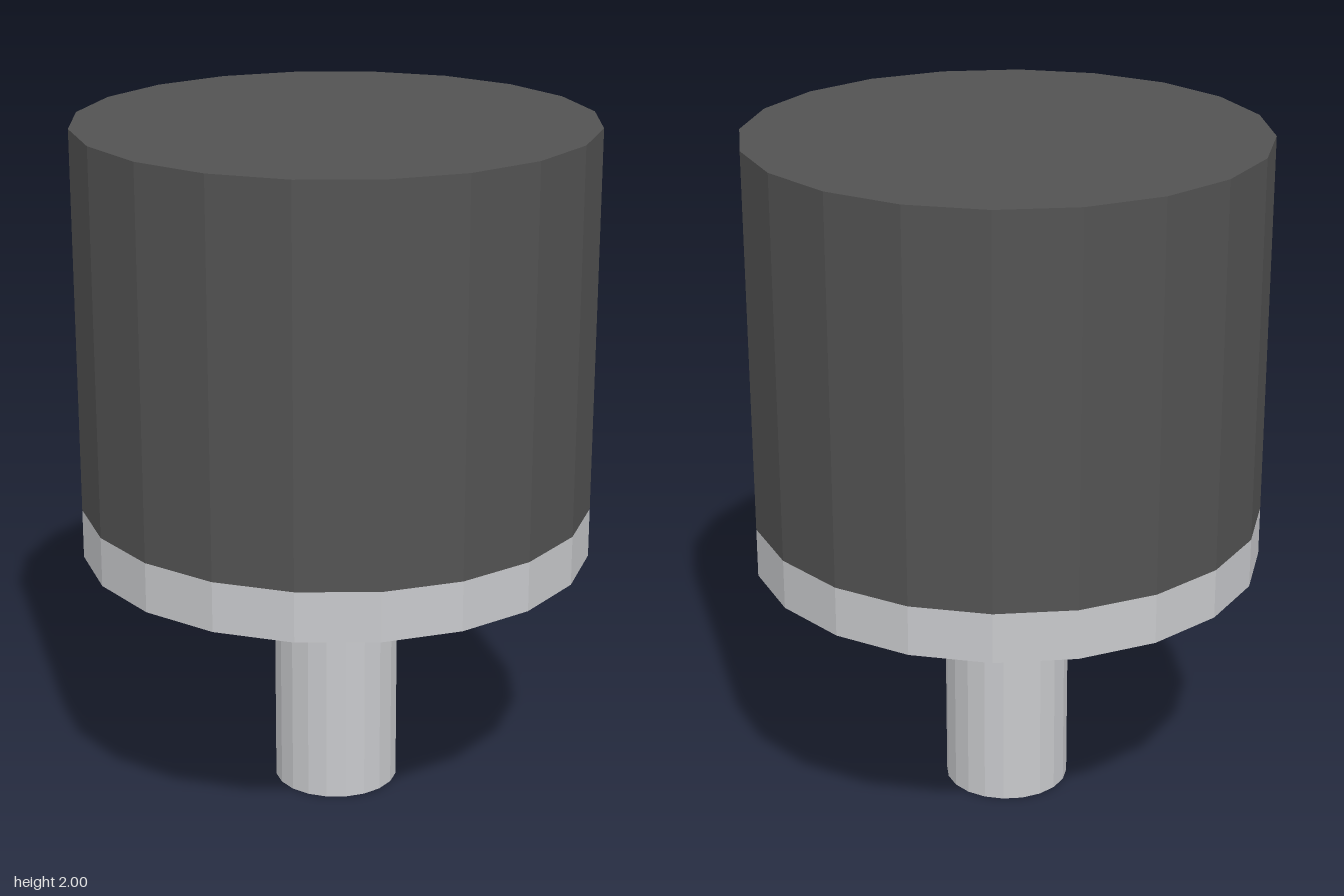
import * as THREE from 'three';

const SIDES = 20;

export function createModel() {
  const model = new THREE.Group();
  model.name = 'bumperMount';

  const rubber = new THREE.MeshStandardMaterial({ name: 'dark rubber', color: 0x525252, flatShading: true });
  const steel = new THREE.MeshStandardMaterial({ name: 'light steel', color: 0xc8c9cc, flatShading: true });

  // Upright faceted cylinder spanning bottom..top
  function addCylinder(name, radius, bottom, top, material, open = false) {
    const geometry = new THREE.CylinderGeometry(radius, radius, top - bottom, SIDES, 1, open);
    const mesh = new THREE.Mesh(geometry, material);
    mesh.name = name;
    mesh.position.y = (bottom + top) / 2;
    model.add(mesh);
  }

  addCylinder('stud', 0.183, 0, 0.745, steel);
  addCylinder('basePlate', 0.74, 0.745, 0.89, steel);
  addCylinder('rubberBody', 0.74, 0.89, 2, rubber);

  return model;
}
